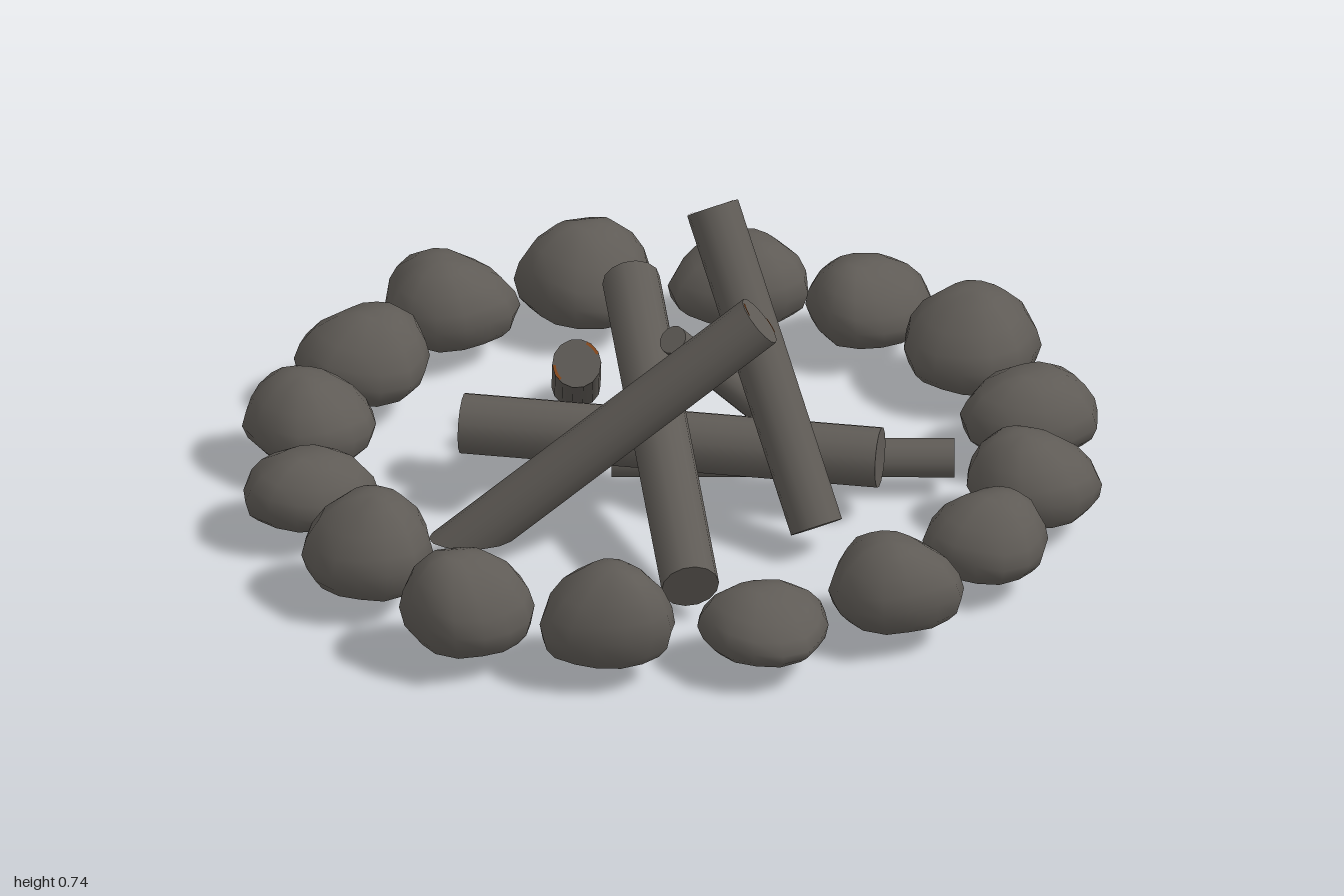
import * as THREE from 'three';
import { mergeVertices } from 'three/addons/utils/BufferGeometryUtils.js';

const charred = new THREE.MeshStandardMaterial({ color: 0x5f5b56, side: THREE.DoubleSide });
charred.name = 'charred stone and wood';
const ember = new THREE.MeshStandardMaterial({ color: 0x8a4a1c, side: THREE.DoubleSide });
ember.name = 'ember orange';

const GROUND = 0.068;

// Ring stones: x, z, radius along x, radius along z, top height
const STONES = [
  [0.0, -0.85, 0.165, 0.15, 0.24], [0.31, -0.8, 0.15, 0.15, 0.24],
  [0.58, -0.63, 0.162, 0.165, 0.26], [0.76, -0.34, 0.162, 0.16, 0.24],
  [0.835, 0.0, 0.16, 0.14, 0.25], [0.77, 0.29, 0.148, 0.14, 0.24],
  [0.61, 0.555, 0.16, 0.15, 0.26], [0.345, 0.77, 0.155, 0.14, 0.205],
  [-0.01, 0.845, 0.16, 0.14, 0.28], [-0.33, 0.84, 0.16, 0.145, 0.28],
  [-0.6, 0.6, 0.155, 0.155, 0.27], [-0.795, 0.3, 0.158, 0.15, 0.22],
  [-0.84, -0.01, 0.158, 0.15, 0.24], [-0.78, -0.33, 0.16, 0.16, 0.25],
  [-0.63, -0.63, 0.16, 0.16, 0.25], [-0.34, -0.78, 0.162, 0.145, 0.27],
];

// Dome open underneath, made lumpy by a few waves and a shifted peak
function makeStone([x, z, rx, rz, top], i) {
  const profile = [[0.8, 0], [0.93, 0.12], [1, 0.32], [0.93, 0.52], [0.76, 0.74], [0.46, 0.93], [0.2, 0.99], [0, 1]]
    .map(([r, y]) => new THREE.Vector2(r, y));
  let geo = new THREE.LatheGeometry(profile, 14);
  geo.deleteAttribute('uv');
  geo.deleteAttribute('normal');
  const p = geo.attributes.position;
  const turn = i * 2.4;
  for (let k = 0; k < p.count; k++) {
    const a = Math.atan2(p.getZ(k), p.getX(k));
    const h = p.getY(k);
    const lump = 0.97 + 0.04 * Math.sin(3 * a + turn) + 0.03 * Math.sin(5 * a + turn * 1.7 + h * 3);
    const shift = 0.16 * h * h;
    const lift = h > 0.3 ? 0.05 * Math.sin(2 * a + turn * 1.3) * Math.hypot(p.getX(k), p.getZ(k)) : 0;
    p.setXYZ(k,
      x + rx * (p.getX(k) * lump + shift * Math.cos(turn)),
      GROUND + (top - GROUND) * (h + lift),
      z + rz * (p.getZ(k) * lump + shift * Math.sin(turn)));
  }
  geo = mergeVertices(geo, 1e-4);
  geo.computeVertexNormals();
  const mesh = new THREE.Mesh(geo, charred);
  mesh.name = 'ringStone' + (i + 1);
  return mesh;
}

// Logs: low end, high end, radius, style of the low end, ember edge at the high end
const LOGS = [
  { name: 'frontLeaningLog', low: [-0.4, 0.07, 0.37], high: [0.235, 0.6, 0.21], r: 0.062, cut: true, glow: true },
  { name: 'sideLeaningLog', low: [-0.295, 0.07, -0.39], high: [-0.195, 0.43, 0.17], r: 0.056, cut: true, glow: true },
  { name: 'tallLeaningLog', low: [0.365, 0.075, 0.2], high: [0.07, 0.71, -0.11], r: 0.061, glow: true },
  { name: 'longLeaningLog', low: [0.14, 0.1, 0.58], high: [-0.145, 0.425, -0.26], r: 0.066 },
  { name: 'lyingLog', low: [-0.49, 0.155, -0.01], high: [0.475, 0.155, -0.01], r: 0.07 },
  { name: 'splitLog', low: [-0.15, 0.085, -0.03], high: [0.62, 0.085, -0.165], r: 0.047, flat: true },
  { name: 'thinStick', low: [0.275, 0.025, -0.26], high: [0.02, 0.49, 0.13], r: 0.034 },
];

function makeLog({ name, low, high, r, cut, flat, glow }) {
  const group = new THREE.Group();
  group.name = name;
  const a = new THREE.Vector3(...low), b = new THREE.Vector3(...high);
  const axis = b.clone().sub(a);
  const length = axis.length();
  axis.normalize();
  const spin = new THREE.Quaternion().setFromUnitVectors(new THREE.Vector3(0, 1, 0), axis);
  const geo = new THREE.CylinderGeometry(r, r, length, 14);
  const p = geo.attributes.position;
  const v = new THREE.Vector3();
  const mid = a.clone().add(b).multiplyScalar(0.5);
  geo.applyQuaternion(spin);
  geo.translate(mid.x, mid.y, mid.z);
  for (let k = 0; k < p.count; k++) {
    v.fromBufferAttribute(p, k);
    // Slanted foot: slide the low end along the log down to the ground plane
    if (cut && v.clone().sub(a).dot(axis) < length / 2) v.addScaledVector(axis, (GROUND - v.y) / axis.y);
    // Split log: flat underside
    if (flat) v.y = Math.max(v.y, 0.055);
    p.setXYZ(k, v.x, v.y, v.z);
  }
  const wood = new THREE.Mesh(geo, charred);
  wood.name = name + 'Wood';
  group.add(wood);

  // Small glowing arcs on the rim of the upper end
  if (glow) {
    for (const start of [0.6, 3.4]) {
      const arc = new THREE.RingGeometry(r * 0.86, r * 0.98, 6, 1, start, 0.7);
      arc.rotateX(-Math.PI / 2);
      arc.translate(0, length / 2 + 0.002, 0);
      arc.applyQuaternion(spin);
      arc.translate(mid.x, mid.y, mid.z);
      const mesh = new THREE.Mesh(arc, ember);
      mesh.name = name + 'EmberEdge';
      group.add(mesh);
    }
  }
  return group;
}

export function createModel() {
  const model = new THREE.Group();
  model.name = 'campfire';
  const ring = new THREE.Group();
  ring.name = 'stoneRing';
  STONES.forEach((s, i) => ring.add(makeStone(s, i)));
  const pile = new THREE.Group();
  pile.name = 'logPile';
  LOGS.forEach((l) => pile.add(makeLog(l)));
  model.add(ring, pile);
  return model;
}
